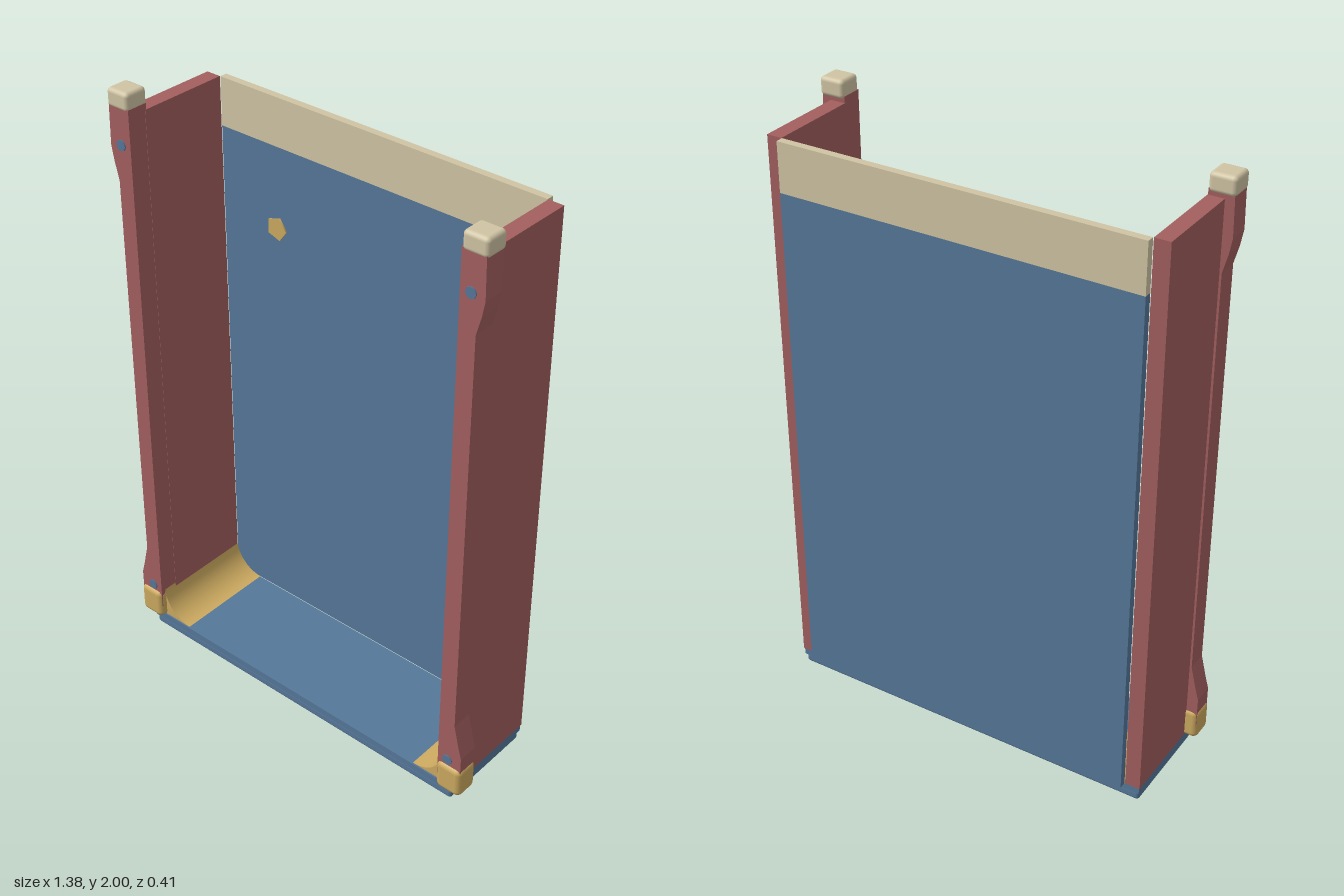
import * as THREE from 'three';
import { RoundedBoxGeometry } from 'three/addons/geometries/RoundedBoxGeometry.js';

const material = (name, color) => {
  const m = new THREE.MeshStandardMaterial({ color });
  m.name = name;
  return m;
};

export function createModel() {
  const red = material('dusty red', 0xa35f5f);
  const blue = material('steel blue', 0x557799);
  const tan = material('pale tan', 0xd0c4a4);
  const gold = material('gold', 0xccaa60);
  const model = new THREE.Group();
  model.name = 'openFrontedBin';

  const add = (name, geometry, mat, parent = model) => {
    const mesh = new THREE.Mesh(geometry, mat);
    mesh.name = name;
    parent.add(mesh);
    return mesh;
  };
  // Box given by its lower and upper corners, rounded when r > 0
  const box = (name, lo, hi, mat, parent, r = 0) => {
    const s = hi.map((v, i) => v - lo[i]);
    const g = r ? new RoundedBoxGeometry(...s, 3, r) : new THREE.BoxGeometry(...s);
    g.translate(...hi.map((v, i) => (v + lo[i]) / 2));
    return add(name, g, mat, parent);
  };
  const extrude = (shape, z0, z1) =>
    new THREE.ExtrudeGeometry(shape, { depth: z1 - z0, bevelEnabled: false, curveSegments: 12 }).translate(0, 0, z0);

  // Base tray: slightly inset lower slab under a thin upper plate
  box('baseLower', [-0.642, 0, -0.174], [0.642, 0.034, 0.18], blue, model, 0.01);
  box('baseUpper', [-0.645, 0.032, -0.178], [0.645, 0.056, 0.183], blue);

  // Back panel with a contrasting top band
  box('backPanel', [-0.595, 0.056, -0.205], [0.595, 1.77, -0.18], blue);
  box('topBand', [-0.595, 1.77, -0.205], [0.595, 1.93, -0.18], tan);

  // Post silhouette, flaring outward at both ends
  const outer = [[0.598, 0.1], [0.685, 0.1], [0.685, 0.21], [0.674, 0.25], [0.655, 0.33],
    [0.655, 1.71], [0.671, 1.77], [0.68, 1.82], [0.677, 1.95], [0.598, 1.95]];
  // Concave corner fillet between the base and the wall
  const fillet = (s) => {
    const shape = new THREE.Shape();
    shape.moveTo(s * 0.598, 0.055);
    shape.lineTo(s * 0.598, 0.16);
    shape.absarc(s * 0.49, 0.164, 0.108, 0, s > 0 ? -Math.PI / 2 : -Math.PI / 2, s > 0);
    return shape;
  };
  const filletShape = (s) => {
    if (s > 0) return fillet(1);
    const shape = new THREE.Shape();
    shape.moveTo(-0.598, 0.055);
    shape.lineTo(-0.598, 0.164);
    shape.absarc(-0.49, 0.164, 0.108, Math.PI, Math.PI * 1.5, false);
    return shape;
  };

  for (const s of [1, -1]) {
    const side = new THREE.Group();
    side.name = s > 0 ? 'leftSide' : 'rightSide';
    model.add(side);
    const mirroredBox = (name, lo, hi, mat, r) => {
      const xs = [s * lo[0], s * hi[0]].sort((a, b) => a - b);
      box(name, [xs[0], lo[1], lo[2]], [xs[1], hi[1], hi[2]], mat, side, r);
    };
    mirroredBox('sideWall', [0.597, 0.056, -0.18], [0.648, 1.93, 0.13], red);
    const outline = new THREE.Shape(outer.map(([x, y]) => new THREE.Vector2(s * x, y)));
    add('frontPost', extrude(outline, 0.125, 0.196), red, side);
    mirroredBox('postCap', [0.598, 1.94, 0.118], [0.683, 2, 0.199], tan, 0.014);
    mirroredBox('postFoot', [0.596, 0.05, 0.12], [0.69, 0.16, 0.205], gold, 0.02);
    add('cornerFillet', extrude(filletShape(s), -0.18, 0.178), gold, side);

    // Rivets near both ends of the post
    for (const y of [0.18, 1.83]) {
      const rivet = add('rivet', new THREE.CylinderGeometry(0.018, 0.018, 0.006, 8), blue, side);
      rivet.rotation.x = Math.PI / 2;
      rivet.position.set(s * 0.635, y, 0.197);
    }
    // Five-sided stud on the inside of the back panel, point toward +x
    const stud = add('panelStud', new THREE.CylinderGeometry(0.04, 0.04, 0.006, 5), gold, side);
    stud.geometry.rotateY(Math.PI / 2).rotateX(Math.PI / 2);
    stud.position.set(s * 0.375, 1.495, -0.178);
  }
  return model;
}
